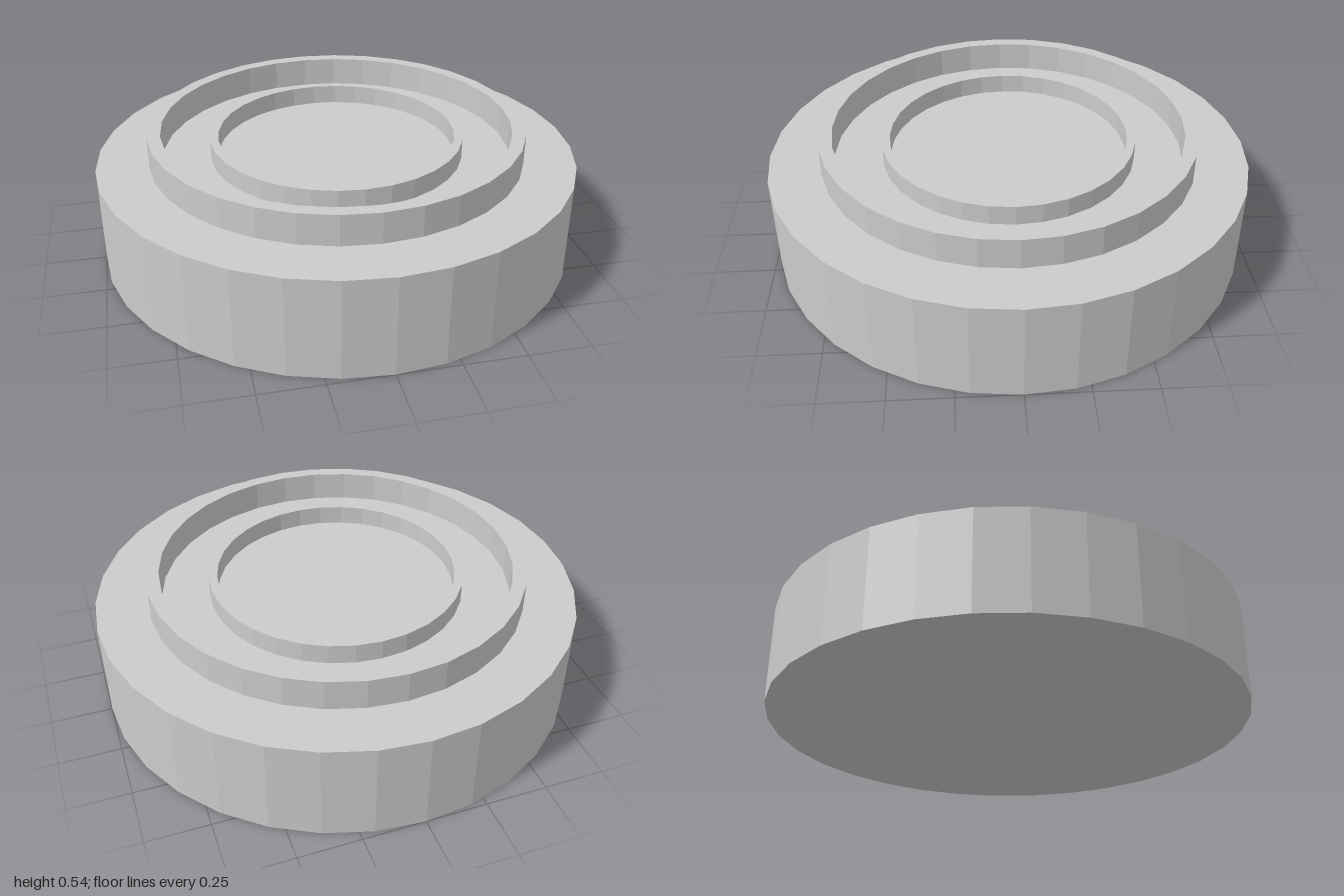
import * as THREE from 'three';

const SEGMENTS = 32;
const BASE_TOP = 0.413;

export function createModel() {
  const model = new THREE.Group();
  model.name = 'steppedDisc';
  const material = new THREE.MeshStandardMaterial({ color: 0xcccccc, flatShading: true });

  const add = (name, geometry) => {
    const mesh = new THREE.Mesh(geometry, material);
    mesh.name = name;
    model.add(mesh);
    return mesh;
  };

  // Raised ring standing on the base: outer wall, flat rim, inner wall
  const addRing = (name, outer, inner, top) => {
    const profile = [
      [outer, BASE_TOP], [outer, top], [inner, top], [inner, BASE_TOP],
    ].map(([r, y]) => new THREE.Vector2(r, y));
    add(name, new THREE.LatheGeometry(profile, SEGMENTS));
  };

  // Solid round base
  add('base', new THREE.CylinderGeometry(1, 1, BASE_TOP, SEGMENTS)).position.y = BASE_TOP / 2;

  // Two concentric rims, the inner one lower
  addRing('outerRing', 0.785, 0.73, 0.54);
  addRing('innerRing', 0.53, 0.495, 0.495);

  return model;
}
